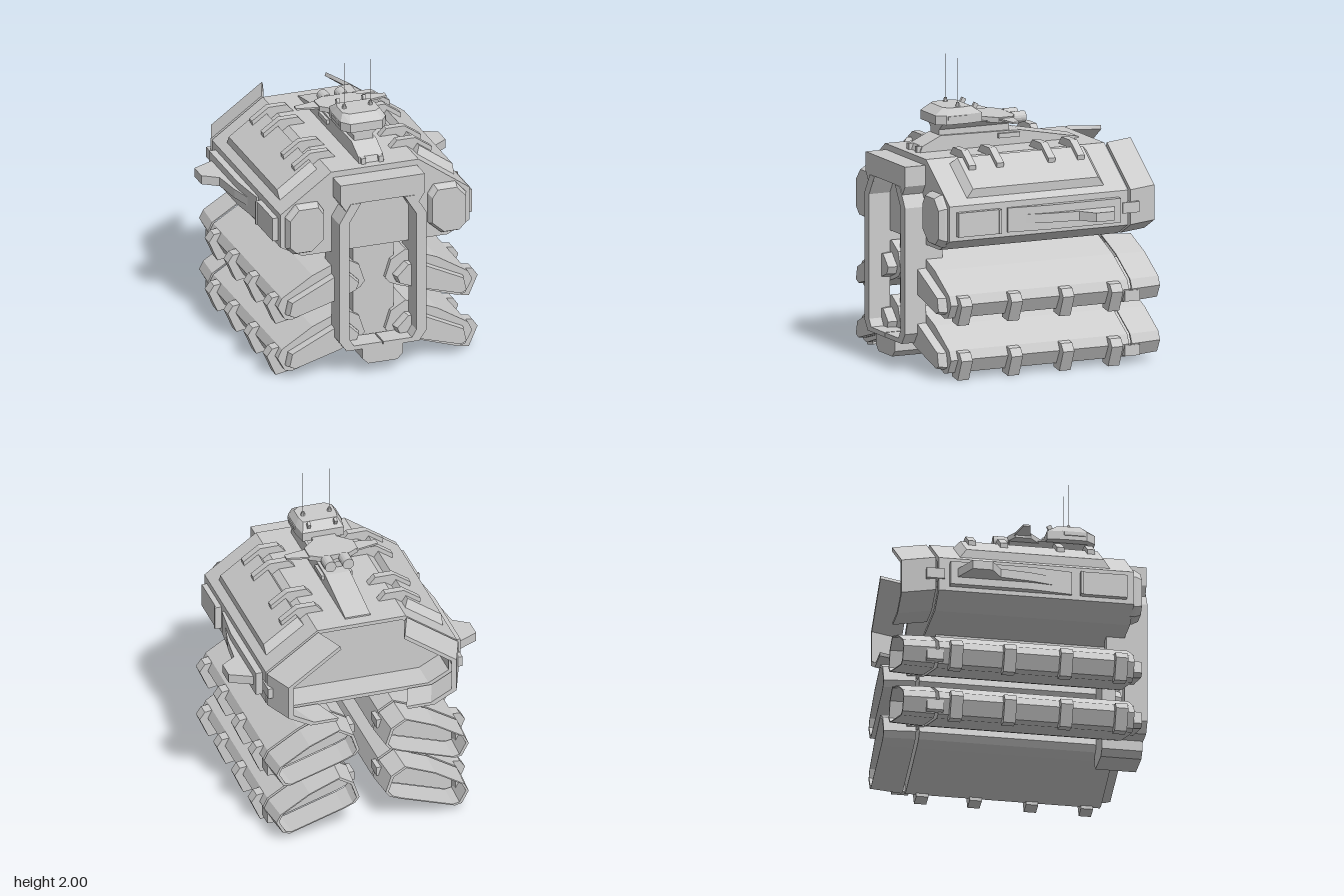
import * as THREE from 'three';
import { ConvexGeometry } from 'three/addons/geometries/ConvexGeometry.js';

const mat = new THREE.MeshStandardMaterial({ color: 0xcccccc, flatShading: true, side: THREE.DoubleSide });

export function createModel() {
  const root = new THREE.Group();

  const add = (name, geo, parent = root) => {
    const m = new THREE.Mesh(geo, mat);
    m.name = name;
    parent.add(m);
    return m;
  };
  const group = (name) => {
    const g = new THREE.Group();
    g.name = name;
    root.add(g);
    return g;
  };
  const box = (name, x0, x1, y0, y1, z0, z1, parent) =>
    add(name, new THREE.BoxGeometry(Math.abs(x1 - x0), y1 - y0, z1 - z0)
      .translate((x0 + x1) / 2, (y0 + y1) / 2, (z0 + z1) / 2), parent);
  const vec2 = (pts) => pts.map(p => new THREE.Vector2(...p));
  // Outline in x/y (with an optional hole) pushed from z0 to z1
  const extrude = (name, pts, z0, z1, parent, hole) => {
    const shape = new THREE.Shape(vec2(pts));
    if (hole) shape.holes.push(new THREE.Path(vec2(hole)));
    return add(name, new THREE.ExtrudeGeometry(shape, { depth: z1 - z0, bevelEnabled: false })
      .translate(0, 0, z0), parent);
  };
  const sideExtrude = (name, zy, x0, x1) => // outline in z/y, pushed along x
    extrude(name, zy.map(([z, y]) => [-z, y]), x0, x1).geometry.rotateY(Math.PI / 2);
  const planExtrude = (name, xz, y0, y1) => // outline in x/z, pushed up
    extrude(name, xz.map(([x, z]) => [x, -z]), y0, y1).geometry.rotateX(-Math.PI / 2);
  const hull = (name, pts, parent) =>
    add(name, new ConvexGeometry(pts.map(p => new THREE.Vector3(...p))), parent);
  const ring = (pts, z) => pts.map(([x, y]) => [x, y, z]);
  const scale = (pts, k, [cx, cy]) => pts.map(([x, y]) => [cx + (x - cx) * k, cy + (y - cy) * k]);
  const flip = (pts, s, dy = 0) => pts.map(([x, y]) => [x * s, y + dy]);
  const mirror = (half) => [...half, ...half.slice().reverse().map(([x, y]) => [-x, y])];

  // Hollow nozzle: one thin plate per side of the outline
  const shell = (name, front, back, k, c, closed, parent) => {
    const fi = scale(front, k, c), bi = scale(back, k, c), n = front.length;
    for (let i = 0; i < (closed ? n : n - 1); i++) {
      const j = (i + 1) % n;
      hull(name, [
        ...ring([front[i], front[j], fi[i], fi[j]], -0.62),
        ...ring([back[i], back[j], bi[i], bi[j]], -0.83)], parent);
    }
  };

  // Main hull with an open bay at the rear
  const body = mirror([[0.3, 1.4], [0.65, 1.15], [0.65, 0.92], [0.5, 0.84]]);
  extrude('mainHull', body, -0.4, 0.68);
  extrude('rearBay', body, -0.6, -0.4, root, scale(body, 0.91, [0, 1.12]));
  sideExtrude('keel', [[0.56, 0.85], [0.56, 0.78], [-0.44, 0.78], [-0.53, 0.81], [-0.53, 0.85]], -0.14, 0.14);

  const clampZ = [0.59, 0.23, -0.14, -0.49];
  const ribZ = [0.43, 0.23, -0.14, -0.35];
  const pod = [[0.07, 0.6], [0.11, 0.72], [0.21, 0.78], [0.43, 0.69], [0.64, 0.56], [0.67, 0.5],
    [0.62, 0.41], [0.57, 0.4], [0.17, 0.53], [0.1, 0.56]];
  const clamp = [[0.62, 0.56], [0.69, 0.55], [0.725, 0.5], [0.665, 0.365], [0.58, 0.38], [0.58, 0.43]];
  const rib = [[0.19, 1.4], [0.235, 1.45], [0.36, 1.45], [0.475, 1.37], [0.46, 1.28], [0.3, 1.38]];
  const bumper = [[0.36, 1.15], [0.4, 1.21], [0.55, 1.21], [0.62, 1.13], [0.62, 0.92], [0.57, 0.87],
    [0.45, 0.87], [0.36, 0.95]];

  for (const s of [1, -1]) {
    const side = s > 0 ? 'left' : 'right';

    // Hull rear half-shell, drawn inward toward the back
    const rear = group(side + 'RearShell');
    const f = [[0.3, 1.4], [0.65, 1.15], [0.65, 0.92], [0.5, 0.84], [0.32, 0.84]];
    const b = f.map(([x, y]) => [x - 0.08, y]);
    shell('rearShellPlate', flip(f, s), flip(b, s), 0.92, [0.12 * s, 1.1], false, rear);
    box('rearBracket', 0.6 * s, 0.66 * s, 1.0, 1.07, -0.68, -0.56, rear);

    // Bevelled front bumper
    const bp = flip(bumper, s);
    hull(side + 'FrontBumper', [...ring(bp, 0.67), ...ring(bp, 0.7),
      ...ring(scale(bp, 0.88, [0.49 * s, 1.04]), 0.74)]);

    // Raised roof armour with bevelled rim
    const on = (x, h) => [s * (x + h * 0.58), 1.4 - (x - 0.3) * 0.714 + h * 0.81];
    const plate = [];
    for (const [x0, x1, h, z0, z1] of [[0.345, 0.605, -0.01, -0.46, 0.54], [0.345, 0.575, 0.05, -0.41, 0.49]])
      for (const x of [x0, x1]) for (const z of [z0, z1]) plate.push([...on(x, h), z]);
    hull(side + 'RoofArmour', plate);
    for (const z of ribZ) extrude(side + 'RoofRib', flip(rib, s), z - 0.025, z + 0.025);

    // Side boxes and swept fin
    box(side + 'SideBox', 0.64 * s, 0.685 * s, 0.95, 1.11, 0.33, 0.63);
    box(side + 'SideBoxTrim', 0.64 * s, 0.695 * s, 0.95, 1.11, 0.325, 0.345);
    hull(side + 'SideSponson', [0.95, 1.11].flatMap(y =>
      [[0.64, 0.27], [0.665, 0.27], [0.695, 0], [0.695, -0.53], [0.64, -0.53]].map(([x, z]) => [x * s, y, z])));
    planExtrude(side + 'Fin', [[0.68, 0.15], [0.715, 0], [0.74, -0.21], [0.84, -0.28], [0.84, -0.41],
      [0.74, -0.46], [0.68, -0.49]].map(([x, z]) => [x * s, z]), 1.0, 1.06);

    // Two stacked pods
    for (const dy of [0, -0.36]) {
      const g = group(side + (dy ? 'LowerPod' : 'UpperPod'));
      const p = flip(pod, s, dy), c = [0.38 * s, 0.58 + dy];
      extrude('podBody', p, -0.6, 0.68, g);
      const nose = flip([[0.12, 0.62], [0.2, 0.7], [0.29, 0.69], [0.6, 0.54], [0.62, 0.45], [0.58, 0.43],
        [0.27, 0.52], [0.14, 0.57]], s, dy);
      hull('podNose', [...ring(nose, 0.67), ...ring(nose, 0.7), ...ring(scale(nose, 0.95, c), 0.74)], g);
      shell('podNozzlePlate', p, scale(p, 0.94, c), 0.93, c, true, g);
      for (const z of clampZ) extrude('podClamp', flip(clamp, s, dy), z - 0.04, z + 0.04, g);
      box('outerBracket', 0.61 * s, 0.665 * s, 0.42 + dy, 0.49 + dy, -0.68, -0.57, g);
      box('innerBracket', 0.075 * s, 0.13 * s, 0.64 + dy, 0.7 + dy, -0.68, -0.57, g);
    }

    // Deep front rail, folded inward at both ends, with a hanger under the hull
    extrude(side + 'FrontRail', flip([[0.15, 1.22], [0.22, 1.22], [0.3, 1.09], [0.3, 0.26], [0.25, 0.19],
      [0.005, 0.19], [0.005, 0.22], [0.2, 0.22], [0.23, 0.27], [0.23, 1.09]], s), 0.68, 0.83);
    box(side + 'RailHanger', 0.23 * s, 0.3 * s, 0.74, 0.85, 0.56, 0.7);
  }

  // Recessed front column, its foot and the head joining the rails
  extrude('frontColumn', mirror([[0.14, 0.85], [0.14, 0.15]]), 0.56, 0.65);
  extrude('columnFoot', mirror([[0.14, 0.2], [0.14, 0.12], [0.1, 0.08]]), 0.56, 0.825);
  extrude('columnHead', mirror([[0.29, 1.36], [0.29, 1.23], [0.25, 1.17], [0.18, 1.17], [0.15, 1.22]]), 0.67, 0.825);

  // Bridge base on the roof
  sideExtrude('bridgeBase', [[0.62, 1.39], [0.6, 1.44], [0.47, 1.5], [-0.1, 1.49], [-0.52, 1.41], [-0.52, 1.39]],
    -0.085, 0.085);
  // Neck with a flared top under the deck
  box('bridgeNeck', -0.065, 0.065, 1.48, 1.54, -0.03, 0.47);
  extrude('neckFlare', mirror([[0.11, 1.575], [0.065, 1.535]]), -0.04, 0.47);
  planExtrude('bridgeDeck', mirror([[0.08, 0.47], [0.08, 0.17], [0.165, 0.09], [0.165, -0.01], [0.1, -0.05]]),
    1.565, 1.6);
  planExtrude('bridgeWings', mirror([[0.15, 0.09], [0.31, 0.06], [0.31, 0.015], [0.15, -0.02]]), 1.58, 1.592);
  hull('bridgeCabin', mirror([[0.11, 0.52], [0.155, 0.46], [0.155, 0.3], [0.14, 0.2]])
    .flatMap(([x, z]) => [[x, 1.58, z], [x, 1.64, z], [x * 0.82, 1.685, 0.36 + (z - 0.36) * 0.6]]));
  box('cabinWindow', -0.11, 0.11, 1.61, 1.64, 0.46, 0.515);

  for (const s of [1, -1]) {
    const x = 0.06 * s;
    box('baseSidePod', 0.07 * s, 0.105 * s, 1.45, 1.48, -0.09, 0.06);
    box('frontProng', x - 0.015, x + 0.015, 1.39, 1.44, 0.56, 0.635);
    box('cabinSideTrim', 0.14 * s, 0.162 * s, 1.61, 1.635, 0.31, 0.45);
    add('engine', new THREE.CylinderGeometry(0.038, 0.038, 0.095, 16).rotateX(Math.PI / 2)
      .translate(x, 1.57, -0.095));
    add('antennaBase', new THREE.CylinderGeometry(0.01, 0.02, 0.04, 8).translate(0.09 * s, 1.69, 0.35));
    add('antenna', new THREE.CylinderGeometry(0.0015, 0.0015, 0.32, 6).translate(0.09 * s, 1.84, 0.35));
    const fin = box('cabinFin', 0.08 * s, 0.1 * s, 1.64, 1.71, 0.22, 0.25);
    fin.geometry.translate(0, -1.675, -0.235).rotateX(-0.5).translate(0, 1.665, 0.235);
  }

  return root;
}
